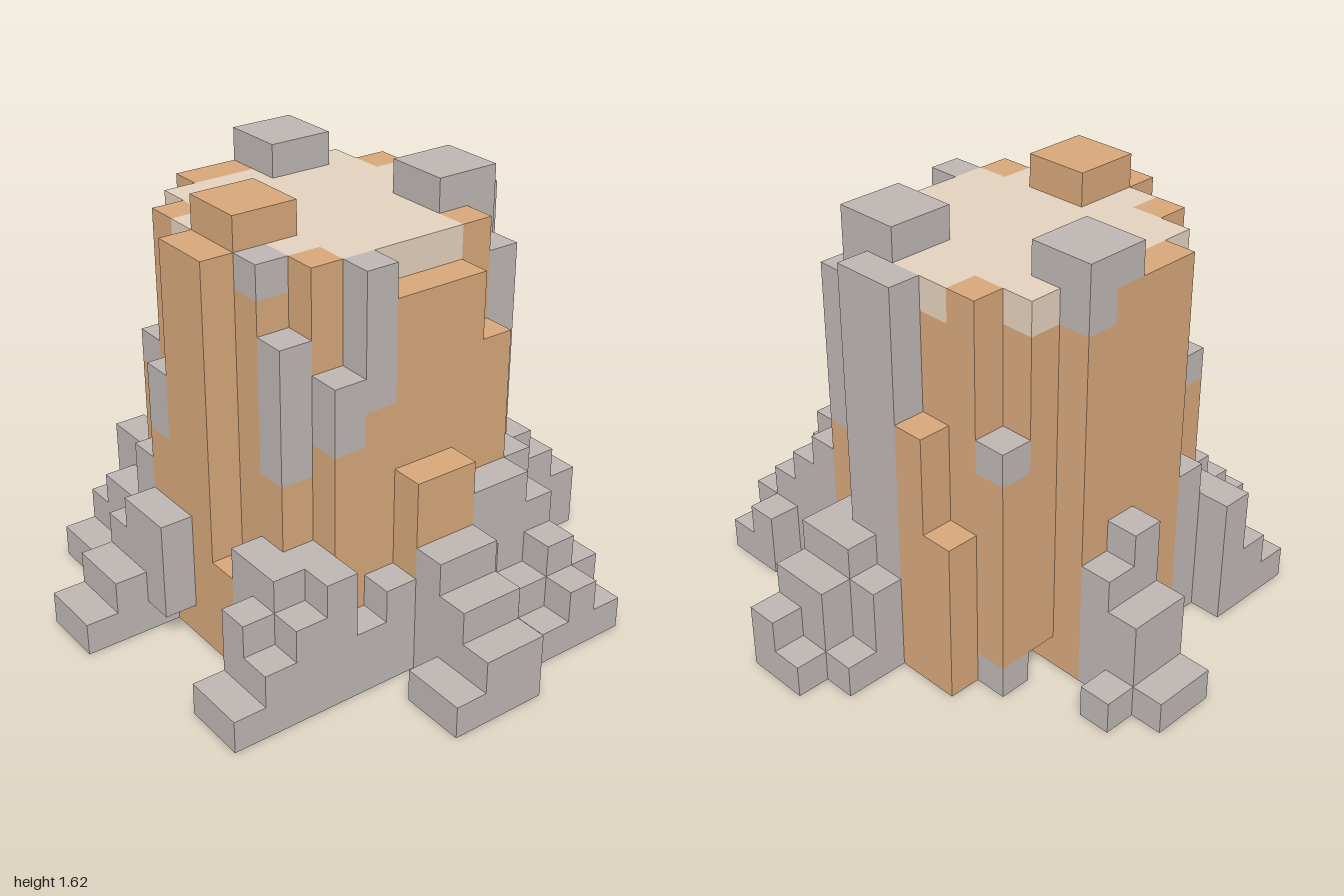
import * as THREE from 'three';
import { mergeGeometries } from 'three/addons/utils/BufferGeometryUtils.js';

const V = 0.125; // one block

const material = (name, color) => {
  const m = new THREE.MeshStandardMaterial({ color });
  m.name = name;
  return m;
};

// Boxes are [x0, x1, z0, z1, y0, y1], counted in blocks
function blocks(name, mat, list) {
  const parts = list.map(([x0, x1, z0, z1, y0, y1]) =>
    new THREE.BoxGeometry((x1 - x0) * V, (y1 - y0) * V, (z1 - z0) * V)
      .translate((x0 + x1) * V / 2, (y0 + y1) * V / 2, (z0 + z1) * V / 2));
  const mesh = new THREE.Mesh(mergeGeometries(parts), mat);
  mesh.name = name;
  return mesh;
}

export function createModel() {
  const group = new THREE.Group();
  group.name = 'treeStump';
  const bark = material('barkBrown', 0xd6a67a);
  const grey = material('weatheredGrey', 0xbcb5b2);
  const wood = material('cutWood', 0xe3d0bc);
  const add = (name, mat, list) => group.add(blocks(name, mat, list));

  // Round core: hollow underneath, pale cut layer on top
  const rows = [[-2, 1, -4, -3], [-4, 2, -3, -2], [-3, 3, -2, 0],
    [-4, 3, 0, 2], [-4, 2, 2, 3], [-2, -1, 3, 4]];
  add('trunkCore', bark, rows.map(r => [...r, 1, 11]));
  add('cutTop', wood, rows.map(r => [...r, 11, 12]));

  // Bark ridges around the core
  add('frontBark', bark, [
    [-1, 1, 3, 5, 0, 12], [1, 2, 4, 5, 0, 3], [1, 2, 3, 4, 0, 11],
    [2, 3, 2, 3, 0, 12], [2, 3, 3, 4, 0, 6], [3, 4, 2, 3, 0, 7],
    [-2, -1, 4, 5, 4, 6], [-3, -2, 3, 4, 1, 12], [-4, -3, 3, 4, 3, 7],
  ]);
  add('rightBark', bark, [
    [3, 4, 1, 2, 0, 8], [3, 4, -2, 1, 0, 11], [4, 5, -1, 1, 0, 6],
    [2, 3, -3, -2, 0, 12], [3, 4, -3, -2, 0, 9], [2, 3, -4, -3, 0, 6],
  ]);
  add('backBark', bark, [
    [-3, -2, -4, -3, 0, 12], [-2, -1, -5, -4, 0, 8],
    [-3, -2, -5, -4, 0, 5], [-4, -3, -4, -3, 1, 7],
    [1, 2, -4, -3, 0, 11], [1, 2, -5, -4, 2, 3],
  ]);
  add('leftBark', bark, [
    [-5, -4, 0, 2, 0, 12], [-5, -3, -2, 0, 0, 11],
    [-5, -4, -1, 0, 11, 12], [-4, -3, -2, 0, 11, 12],
  ]);

  // Grey patches in the bark
  add('greyBark', grey, [
    [1, 2, 3, 4, 11, 12], [2, 3, 3, 4, 6, 10], [3, 4, 2, 3, 7, 9],
    [3, 4, 1, 2, 8, 12], [-2, -1, 4, 5, 6, 8], [-4, -3, 3, 4, 7, 8],
    [-4, -3, -4, -3, 7, 8], [-4, -3, -4, -3, 0, 1], [-3, -2, 3, 4, 0, 1],
    [-5, -4, -2, -1, 11, 12], [1, 2, -4, -3, 11, 12], [2, 3, -4, -3, 6, 11],
    [-1, 1, -5, -4, 0, 12],
  ]);

  // Raised blocks on the rim
  add('greyRimBlocks', grey, [[-5, -3, -2, 0, 12, 13], [0, 2, -4, -2, 12, 13]]);
  add('barkRimBlock', bark, [[-1, 1, 2, 4, 12, 13]]);

  // Stepped roots
  add('frontRoot', grey, [
    [-3, -1, 7, 8, 0, 1], [-3, -1, 6, 7, 0, 2], [-3, -2, 5, 6, 0, 3],
    [-2, -1, 5, 6, 0, 4], [-1, 0, 5, 6, 1, 4], [-3, -2, 4, 5, 0, 5],
    [-2, -1, 4, 5, 0, 4],
  ]);
  add('frontLeftRoot', grey, [
    [-6, -4, 5, 6, 0, 1], [-6, -5, 4, 5, 0, 2], [-5, -3, 4, 5, 0, 3],
    [-6, -4, 3, 4, 0, 4], [-4, -3, 3, 4, 0, 3], [-5, -4, 2, 3, 0, 5],
  ]);
  add('frontRightRoot', grey, [
    [3, 5, 6, 7, 0, 1], [3, 4, 5, 6, 0, 3], [4, 5, 5, 6, 0, 2],
    [2, 4, 4, 5, 0, 4], [4, 5, 4, 5, 0, 3], [3, 5, 3, 4, 0, 4],
    [4, 5, 2, 3, 0, 2], [4, 5, 1, 2, 0, 3],
  ]);
  add('rightRoot', grey, [
    [5, 6, -1, 1, 0, 4], [6, 7, -1, 1, 0, 3], [7, 8, -1, 1, 0, 2],
    [6, 8, 1, 2, 0, 1],
  ]);
  add('backRightRoot', grey, [
    [4, 5, -2, -1, 3, 5], [4, 5, -3, -2, 0, 5], [4, 5, -4, -3, 0, 4],
    [3, 4, -4, -3, 0, 5], [5, 6, -4, -3, 0, 3], [6, 7, -4, -3, 0, 2],
    [5, 6, -5, -4, 0, 2], [6, 7, -5, -4, 0, 1],
    [5, 6, -3, -2, 0, 2], [6, 7, -3, -2, 0, 1],
  ]);
  add('backRoot', grey, [
    [0, 1, -8, -7, 0, 1], [1, 2, -8, -7, 0, 2], [0, 2, -7, -6, 0, 3],
    [-1, 0, -7, -6, 0, 1], [0, 2, -6, -5, 0, 4], [-1, 0, -6, -5, 0, 3],
    [1, 2, -5, -4, 0, 2], [1, 2, -5, -4, 3, 4], [2, 3, -5, -4, 0, 2],
  ]);
  add('leftRoot', grey, [
    [-8, -7, -2, 0, 0, 1], [-7, -6, -2, 0, 0, 3], [-6, -5, -2, -1, 0, 4],
    [-6, -5, -1, 0, 0, 5], [-7, -6, -3, -2, 0, 1], [-6, -5, 0, 1, 0, 2],
  ]);
  return group;
}
